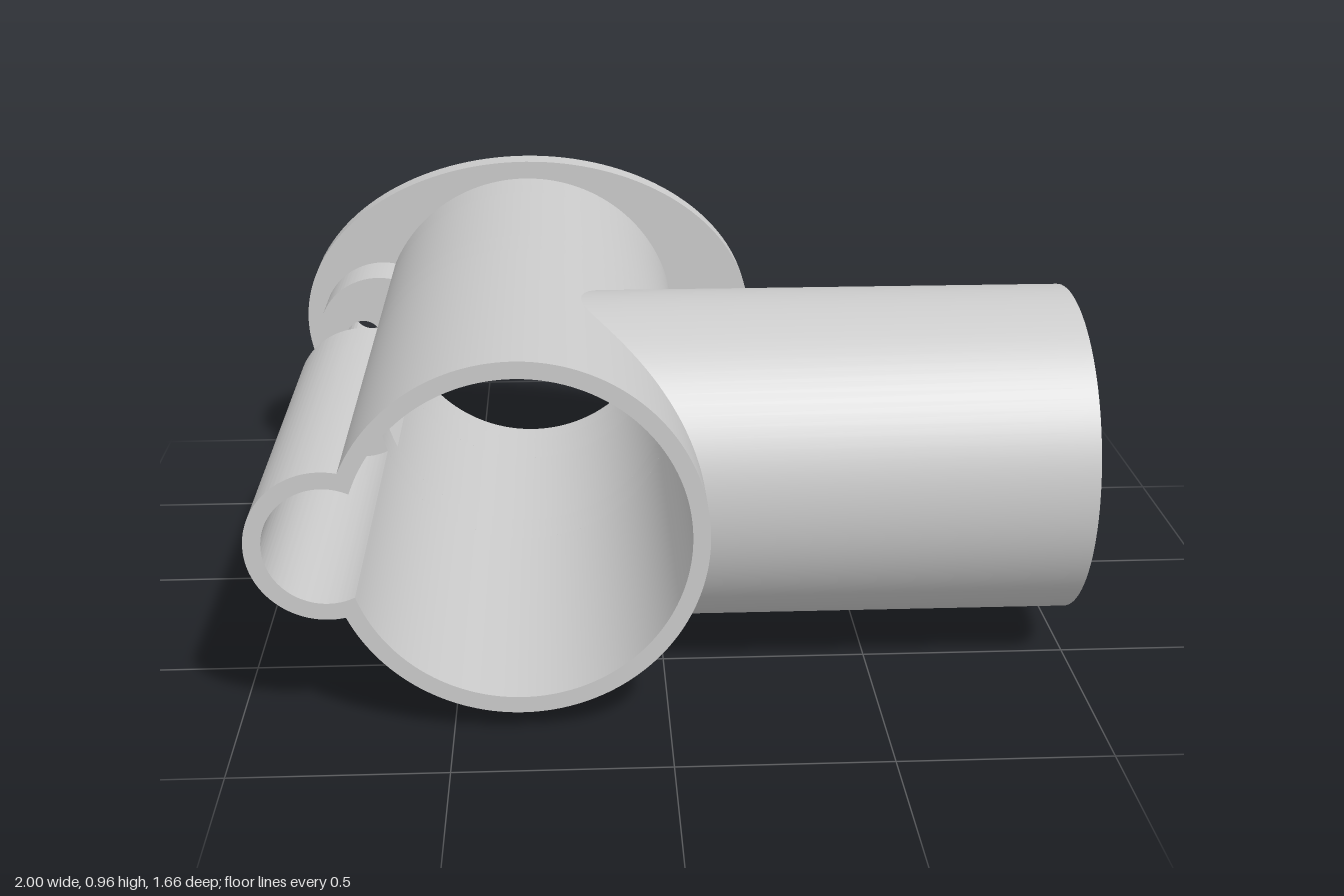
import * as THREE from 'three';
import { toCreasedNormals } from 'three/addons/utils/BufferGeometryUtils.js';

const CX = -0.34, CY = 0.48;      // axis of the main tube
const R_OUT = 0.43, R_BORE = 0.39;
const LUG_D = 0.43;               // lug axis distance from the main axis
const LUG_OUT = 0.18, LUG_IN = 0.14;
const Z0 = -0.83, Z1 = 0.83;

// Where a circle of radius R round the main axis meets one of radius r round the lug axis
function junction(R, r) {
  const x = (LUG_D * LUG_D + R * R - r * r) / (2 * LUG_D);
  const y = Math.sqrt(R * R - x * x);
  return { main: Math.PI - Math.atan2(y, x), lug: Math.atan2(y, LUG_D - x) };
}

// Keyhole outline: main circle merged with lug circle
function keyhole(path, R, r) {
  const j = junction(R, r);
  path.absarc(0, 0, R, -j.main, j.main, false);
  path.absarc(-LUG_D, 0, r, j.lug, 2 * Math.PI - j.lug, false);
  return path;
}

const circle = (x, r) => new THREE.Path().absarc(x, 0, r, 0, Math.PI * 2, true);
const pinHole = () => circle(-0.48, 0.05);

export function createModel() {
  const group = new THREE.Group();
  const material = new THREE.MeshStandardMaterial({ color: 0xcccccc });

  function add(name, geometry) {
    const mesh = new THREE.Mesh(toCreasedNormals(geometry, 0.5), material);
    mesh.name = name;
    group.add(mesh);
    return mesh;
  }

  // Extrude a cross-section along the main axis
  function section(name, shape, zFrom, zTo) {
    const geometry = new THREE.ExtrudeGeometry(shape, {
      depth: zTo - zFrom, bevelEnabled: false, curveSegments: 72,
    });
    add(name, geometry.translate(CX, CY, zFrom));
  }

  // Oval flange at the back
  const flange = new THREE.Shape();
  flange.absellipse(0, 0, 0.66, 0.48, 0, Math.PI * 2, false, 0);
  flange.holes.push(circle(0, R_BORE), pinHole());
  section('flange', flange, Z0, -0.755);

  // Solid lug sections on both sides of the gap
  const solid = keyhole(new THREE.Shape(), R_OUT, LUG_OUT);
  solid.holes.push(circle(0, R_BORE), pinHole());
  section('rearLug', solid, -0.755, -0.6);
  section('channelEndWall', solid, -0.15, -0.03);

  // Slotted tube between the lugs
  const outer = junction(R_OUT, LUG_OUT).main, inner = junction(R_BORE, LUG_OUT).main;
  const slotted = new THREE.Shape();
  slotted.absarc(0, 0, R_OUT, -outer, outer, false);
  slotted.absarc(0, 0, R_BORE, inner, -inner, true);
  section('slottedTube', slotted, -0.6, -0.15);

  // Front tube with a side channel open to the bore
  const channel = keyhole(new THREE.Shape(), R_OUT, LUG_OUT);
  channel.holes.push(keyhole(new THREE.Path(), R_BORE, LUG_IN));
  section('channelTube', channel, -0.03, Z1);

  // Branch tube, its inner end shaped to sit on the main tube wall
  const profile = [[0.403, 0], [0.403, 1], [0.345, 1], [0.345, 0]]
    .map(([r, h]) => new THREE.Vector2(r, h));
  const branch = new THREE.LatheGeometry(profile, 96).rotateZ(-Math.PI / 2);
  const pos = branch.attributes.position;
  for (let i = 0; i < pos.count; i++) {
    if (pos.getX(i) > 0.5) continue;
    const y = pos.getY(i);
    pos.setX(i, CX + Math.sqrt(R_OUT * R_OUT - y * y) - 0.005);
  }
  add('branchTube', branch.translate(0, CY, 0.31));

  return group;
}
